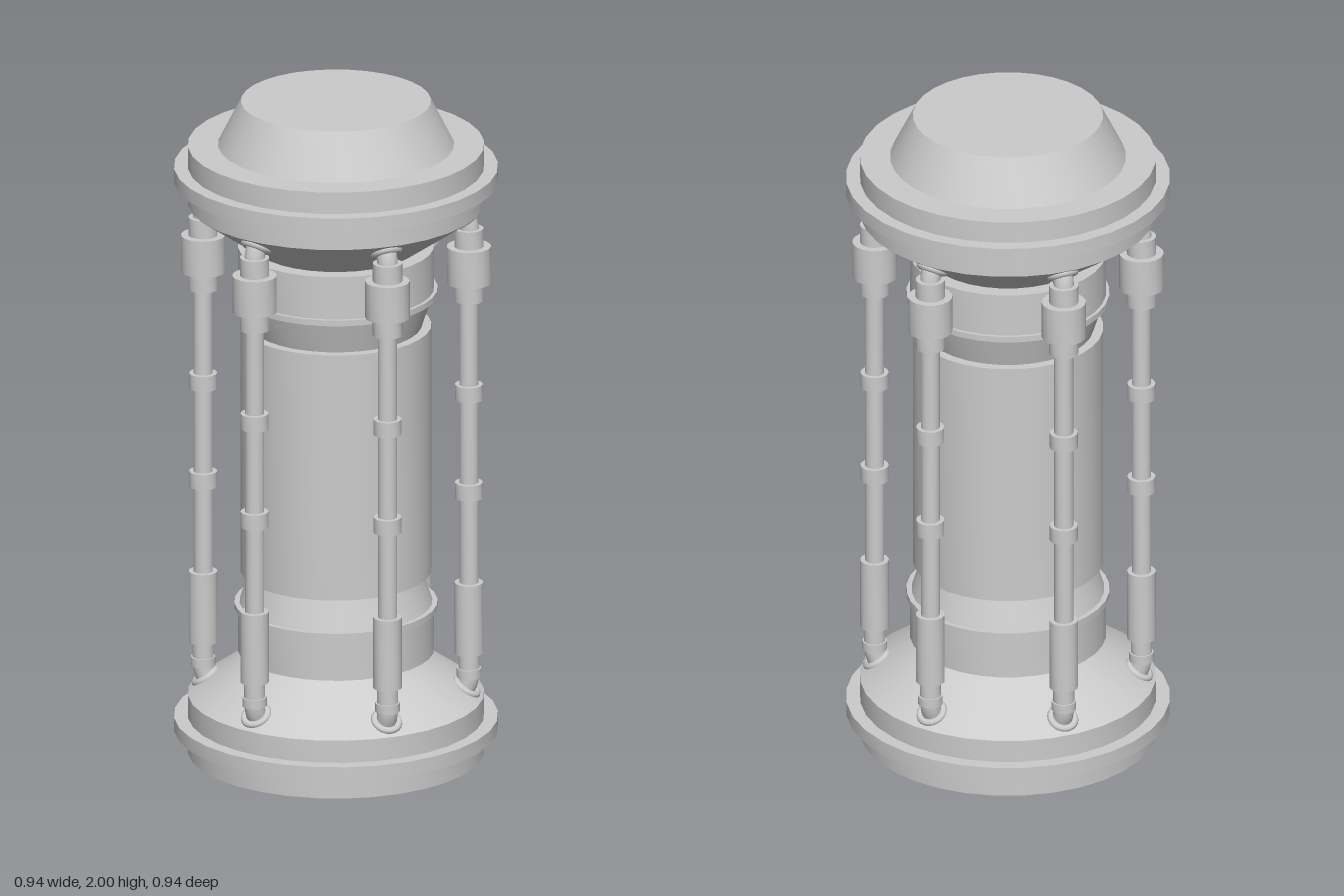
import * as THREE from 'three';
import { toCreasedNormals } from 'three/addons/utils/BufferGeometryUtils.js';

const material = new THREE.MeshStandardMaterial({ color: 0xcccccc });
const shellMaterial = new THREE.MeshStandardMaterial({ color: 0xcccccc, side: THREE.DoubleSide });

// Revolve a [radius, height] profile, listed bottom to top, keeping its edges sharp
function turned(name, profile, segments, mat = material) {
  const points = profile.map(([r, y]) => new THREE.Vector2(r, y));
  const geometry = toCreasedNormals(new THREE.LatheGeometry(points, segments), 0.45);
  const mesh = new THREE.Mesh(geometry, mat);
  mesh.name = name;
  return mesh;
}

const ROD_RADIUS = 0.39;   // distance of the rods from the centre
const MIRROR_Y = 1.867;    // a height y at the foot matches MIRROR_Y - y at the head

// Elbow that bends from the rod into the sloping cone, with a seating ring
function endFitting(name) {
  const group = new THREE.Group();
  group.name = name;
  const path = new THREE.CatmullRomCurve3([
    new THREE.Vector3(0, 0.275, 0),
    new THREE.Vector3(0, 0.245, 0),
    new THREE.Vector3(-0.008, 0.215, 0),
    new THREE.Vector3(-0.035, 0.172, 0),
  ]);
  const elbow = new THREE.Mesh(new THREE.TubeGeometry(path, 10, 0.03, 14), shellMaterial);
  elbow.name = 'elbow';
  const seat = new THREE.Mesh(new THREE.TorusGeometry(0.036, 0.011, 8, 20), material);
  seat.name = 'seatingRing';
  seat.position.set(-0.007, 0.212, 0);
  seat.quaternion.setFromUnitVectors(
    new THREE.Vector3(0, 0, 1), new THREE.Vector3(0.13, 0.19, 0).normalize());
  const neckRing = turned('neckRing',
    [[0, 0.245], [0.036, 0.245], [0.036, 0.272], [0, 0.272]], 16);
  group.add(elbow, seat, neckRing);
  return group;
}

// One upright rod with its sleeve, clips and stepped collar
function buildRod() {
  const rod = new THREE.Group();
  rod.name = 'rod';
  rod.add(turned('shaft', [
    [0, 0.27], [0.031, 0.27], [0.031, 0.318],
    [0.042, 0.318], [0.042, 0.535], [0.028, 0.535],
    [0.028, 1.403], [0.043, 1.403], [0.043, 1.458],
    [0.065, 1.458], [0.065, 1.57], [0.043, 1.57],
    [0.043, 1.625], [0, 1.625],
  ], 16));
  for (const y of [0.796, 1.098]) {
    rod.add(turned('clip',
      [[0.027, y], [0.041, y], [0.041, y + 0.047], [0.027, y + 0.047]], 16));
  }
  const head = endFitting('headFitting');
  head.rotation.x = Math.PI;
  head.position.y = MIRROR_Y;
  rod.add(endFitting('footFitting'), head);
  return rod;
}

export function createModel() {
  const model = new THREE.Group();
  model.name = 'cylindricalCage';

  // Hollow base, open underneath
  model.add(turned('base', [
    [0.432, 0], [0.432, 0.068], [0.472, 0.068], [0.472, 0.11],
    [0.432, 0.11], [0.432, 0.178], [0.24, 0.312],
  ], 32, shellMaterial));

  // Central column with flared bands at both ends
  model.add(turned('column', [
    [0, 0.312], [0.286, 0.312], [0.286, 0.442],
    [0.296, 0.442], [0.296, 0.46], [0.281, 0.46],
    [0.25, 0.556], [0.278, 0.556],
    [0.278, 1.311], [0.25, 1.311],
    [0.281, 1.407], [0.296, 1.407], [0.296, 1.425],
    [0.286, 1.425], [0.286, 1.555], [0, 1.555],
  ], 32));

  // Cap with flange and tapered crown
  model.add(turned('cap', [
    [0.24, 1.555], [0.432, 1.689], [0.432, 1.757], [0.472, 1.757],
    [0.472, 1.8], [0.432, 1.8], [0.432, 1.866], [0.344, 1.866],
    [0.277, 2], [0, 2],
  ], 32, shellMaterial));

  // Six rods around the column
  const rod = buildRod();
  for (let i = 0; i < 6; i++) {
    const angle = (i * Math.PI) / 3;
    const copy = rod.clone();
    copy.name = `rod${i + 1}`;
    copy.position.set(ROD_RADIUS * Math.cos(angle), 0, -ROD_RADIUS * Math.sin(angle));
    copy.rotation.y = angle;
    model.add(copy);
  }
  return model;
}
